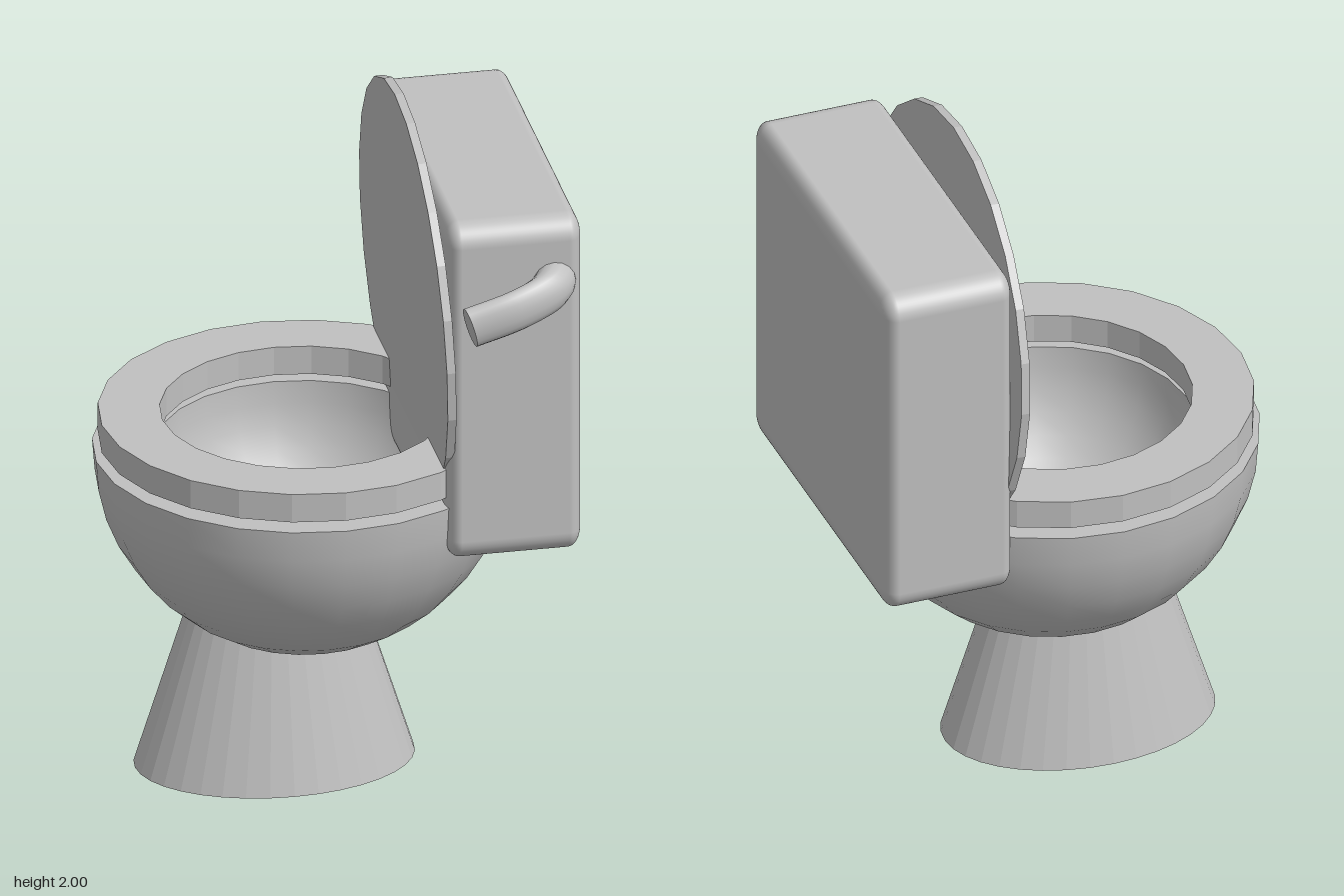
import * as THREE from 'three';
import { RoundedBoxGeometry } from 'three/addons/geometries/RoundedBoxGeometry.js';

const CX = -0.05, CZ = -0.03; // bowl axis
const SIDES = 24;

// faceted shading without touching the material
function flat(geometry) {
  const g = geometry.index ? geometry.toNonIndexed() : geometry;
  g.computeVertexNormals();
  return g;
}

// lathe from [radius, y] pairs
function lathe(points) {
  return new THREE.LatheGeometry(points.map(([r, y]) => new THREE.Vector2(r, y)), SIDES);
}

// quarter circle profile running from the bottom centre up to the rim
function dome(radius, rimY, steps = 10) {
  return Array.from({ length: steps + 1 }, (_, i) => {
    const a = (i / steps) * Math.PI / 2;
    return [radius * Math.sin(a), rimY - radius * Math.cos(a)];
  });
}

export function createModel() {
  const model = new THREE.Group();
  model.name = 'toilet';
  const porcelain = new THREE.MeshStandardMaterial({ color: 0xc0c0c0 });
  porcelain.name = 'grey porcelain';

  const add = (name, geometry, x = 0, y = 0, z = 0, parent = model) => {
    const mesh = new THREE.Mesh(geometry, porcelain);
    mesh.name = name;
    mesh.position.set(x, y, z);
    parent.add(mesh);
    return mesh;
  };

  // flared oval foot
  const foot = new THREE.CylinderGeometry(0.6, 1, 0.5, 36);
  foot.scale(0.395, 1, 0.28);
  add('pedestal', flat(foot), -0.13, 0.25, -0.045);

  // bowl: outer shell, flat rim and hollow inside
  const bowl = new THREE.Group();
  bowl.name = 'bowl';
  bowl.position.set(CX, 0, CZ);
  model.add(bowl);
  add('bowlOutside', lathe(dome(0.588, 0.955)), 0, 0, 0, bowl);
  add('bowlRim', lathe([[0.588, 0.955], [0.41, 0.955]]), 0, 0, 0, bowl);
  add('bowlInside', lathe(dome(0.41, 0.955).reverse()), 0, 0, 0, bowl);

  // rounded outlet on the inner wall
  add('outlet', new THREE.SphereGeometry(0.083, 20, 14), 0.185, 0.59, -0.052);

  // seat ring floating just above the rim
  add('seat', flat(lathe([[0.4, 0.98], [0.572, 0.98], [0.572, 1.065], [0.4, 1.065], [0.4, 0.98]])), CX, 0, CZ);

  // raised lid leaning slightly forward
  const lid = add('lid', flat(new THREE.CylinderGeometry(0.59, 0.59, 0.025, SIDES)), 0.246, 1.41, CZ);
  lid.rotation.z = Math.PI / 2 + 0.042;

  // cistern with softened edges
  const tank = new RoundedBoxGeometry(0.64, 1.025, 1.055, 5, 0.065);
  tank.scale(0.6, 1, 1);
  add('tank', tank, 0.443, 1.307, CZ);

  // flush handle: a bent tube flattened front to back
  const handle = new THREE.Group();
  handle.name = 'flushHandle';
  handle.position.z = 0.5;
  handle.scale.z = 0.5;
  model.add(handle);
  const path = new THREE.CatmullRomCurve3([
    [0.55, 1.632, -0.1], [0.55, 1.632, 0], [0.51, 1.62, 0.1], [0.42, 1.595, 0.165], [0.293, 1.56, 0.18],
  ].map(p => new THREE.Vector3(...p)));
  add('handleArm', new THREE.TubeGeometry(path, 24, 0.061, 16), 0, 0, 0, handle);
  const cap = new THREE.CircleGeometry(0.061, 16);
  cap.applyQuaternion(new THREE.Quaternion().setFromUnitVectors(new THREE.Vector3(0, 0, 1), path.getTangent(1)));
  const tip = path.getPoint(1);
  add('handleTip', cap, tip.x, tip.y, tip.z, handle);

  return model;
}
